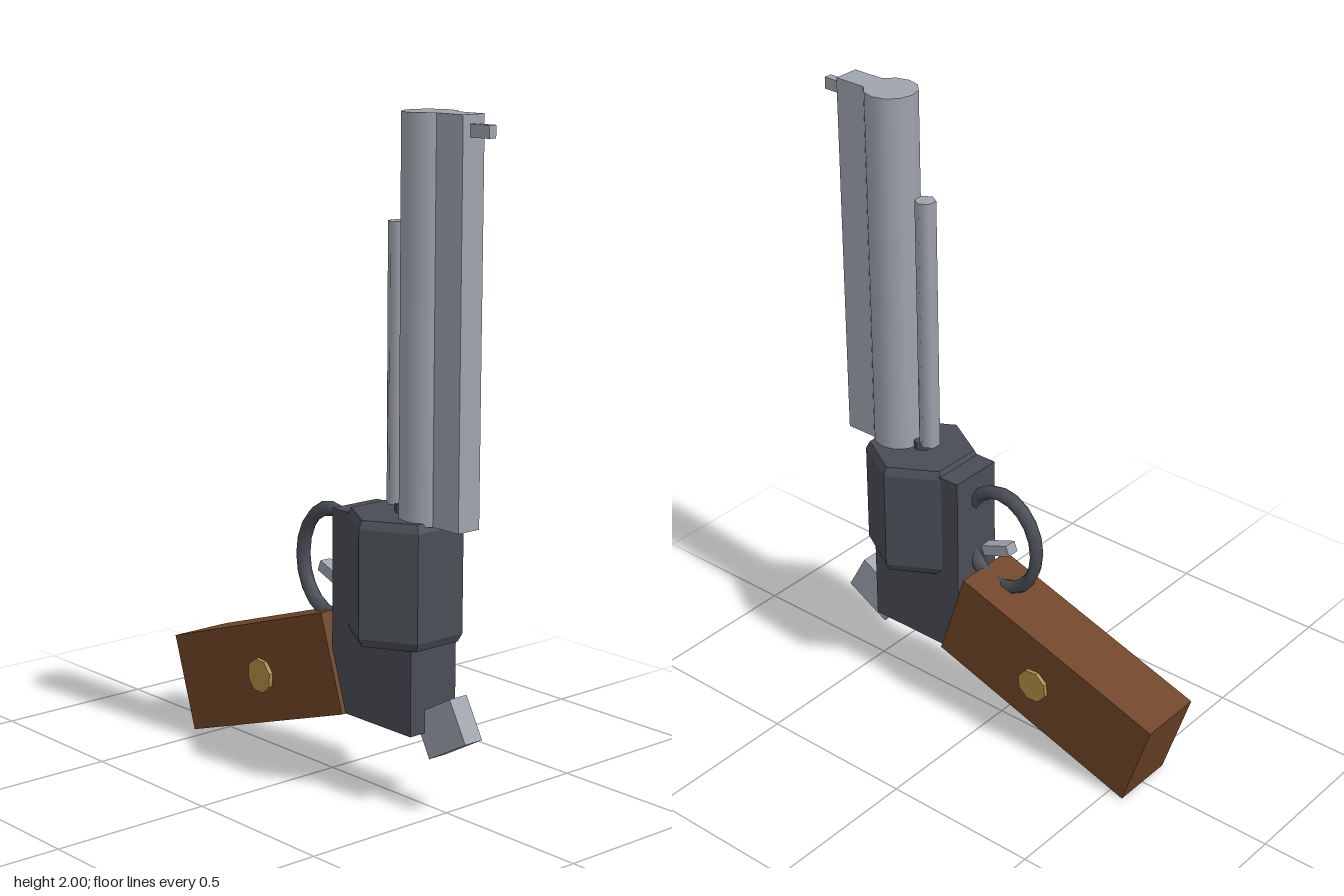
import * as THREE from 'three';

const rad = THREE.MathUtils.degToRad;
const mat = (color, flatShading = false) => new THREE.MeshStandardMaterial({ color, flatShading });
const steel = mat(0xa0a4ae), dark = mat(0x4a4d55, true), darkSmooth = mat(0x4a4d55);
const wood = mat(0x704528), brass = mat(0xb08d45, true);

export function createModel() {
  const group = new THREE.Group();

  const add = (name, geometry, material, x, y, z, tilt = 0) => {
    const mesh = new THREE.Mesh(geometry, material);
    mesh.name = name;
    mesh.position.set(x, y, z);
    mesh.rotation.x = rad(tilt);
    group.add(mesh);
    return mesh;
  };
  const box = (w, h, d) => new THREE.BoxGeometry(w, h, d);
  // Upright rod with a corner pointing to +x
  const rod = (r, h, sides) => new THREE.CylinderGeometry(r, r, h, sides).rotateY(Math.PI / 2);

  // Barrel with its square top rib and front sight
  add('barrel', rod(0.08, 1.15, 12), steel, 0, 1.425, 0.405);
  add('barrelRib', box(0.08, 1.15, 0.145), steel, 0, 1.425, 0.505);
  add('frontSight', box(0.025, 0.036, 0.085), steel, 0, 1.957, 0.6075);

  // Ejector rod and the pin that carries the drum
  add('ejectorRod', rod(0.032, 0.81, 6), steel, 0, 1.285, 0.283);
  add('drumPin', rod(0.03, 0.4, 6), dark, 0, 0.685, 0.312);

  // Six-sided drum with chamfered ends
  const profile = [[0, 0], [0.162, 0], [0.175, 0.025], [0.175, 0.345], [0.162, 0.37], [0, 0.37]]
    .map(([r, y]) => new THREE.Vector2(r, y));
  add('drum', new THREE.LatheGeometry(profile, 6).rotateY(Math.PI / 2), dark, 0, 0.49, 0.315);

  // Frame: side outline in (z, y), extruded across x
  const outline = [[0.44, 0.235], [0.44, 0.51], [0.2, 0.51], [0.2, 0.845], [0.1, 0.845], [0.1, 0.42], [0.16, 0.235]]
    .map(([z, y]) => new THREE.Vector2(z, y));
  const frame = new THREE.ExtrudeGeometry(new THREE.Shape(outline), { depth: 0.175, bevelEnabled: false });
  frame.translate(0, 0, -0.0875).rotateY(-Math.PI / 2);
  add('frame', frame, dark, 0, 0, 0);

  // Hammer, trigger and oval trigger guard
  add('hammer', box(0.066, 0.135, 0.168), steel, 0, 0.262, 0.502, -29);
  add('trigger', box(0.04, 0.034, 0.105), steel, 0, 0.614, 0.01, 21);
  const guard = new THREE.TorusGeometry(0.163, 0.023, 6, 20).rotateY(Math.PI / 2);
  add('triggerGuard', guard, darkSmooth, 0, 0.648, 0).scale.z = 0.83;

  // Grip block with a screw on each side
  add('grip', box(0.205, 0.305, 0.75), wood, 0, 0.264, -0.243, -18);
  for (const side of [1, -1]) {
    const screw = new THREE.CylinderGeometry(0.054, 0.054, 0.03, 8).rotateZ(Math.PI / 2);
    add(side > 0 ? 'leftGripScrew' : 'rightGripScrew', screw, brass, side * 0.1, 0.266, -0.211, -18);
  }
  return group;
}
